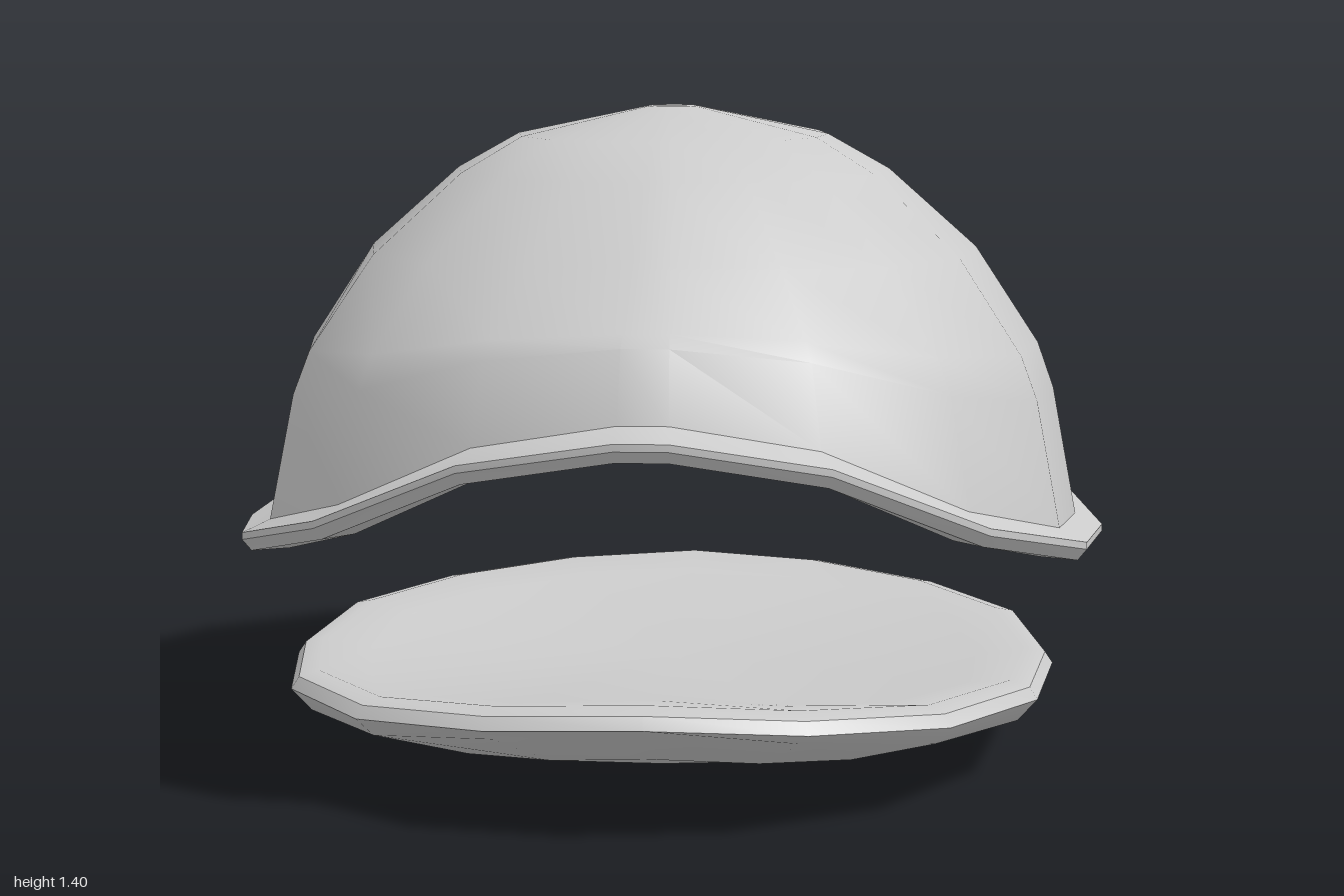
import * as THREE from 'three';
import { toCreasedNormals } from 'three/addons/utils/BufferGeometryUtils.js';

// Half outline [x, z, y] from front to back, mirrored to a full loop
function mirrorLoop(half) {
  const other = half.filter(p => p[0] > 0).map(([x, z, y]) => [-x, z, y]).reverse();
  return [...half, ...other];
}

// Skin stacked rings from top to bottom, closing both ends on a centre point
function loft(rings, startY, endY) {
  const n = rings[0].length, pos = rings.flat(2), idx = [];
  for (let k = 0; k < rings.length - 1; k++) {
    for (let i = 0; i < n; i++) {
      const j = (i + 1) % n, a = k * n, b = a + n;
      idx.push(a + i, b + i, b + j, a + i, b + j, a + j);
    }
  }
  const start = rings.length * n, last = start - n;
  pos.push(0, startY, 0, 0, endY, 0);
  for (let i = 0; i < n; i++) {
    const j = (i + 1) % n;
    idx.push(start, i, j, start + 1, last + j, last + i);
  }
  const geo = new THREE.BufferGeometry();
  geo.setAttribute('position', new THREE.Float32BufferAttribute(pos, 3));
  geo.setIndex(idx);
  return toCreasedNormals(geo, THREE.MathUtils.degToRad(36));
}

// Ring from an outline: scale s, height from a rule on the outline height
const ring = (loop, s, height) => loop.map(([x, z, y]) => [x * s, height(y), z * s]);

function createShell(material) {
  // Foot of the dome, with its arched front
  const foot = mirrorLoop([
    [0.05, 0.93, 0.83], [0.34, 0.87, 0.775], [0.63, 0.70, 0.63], [0.83, 0.38, 0.54],
    [0.89, -0.02, 0.50], [0.83, -0.39, 0.53], [0.63, -0.70, 0.57], [0.34, -0.89, 0.62],
    [0.05, -0.94, 0.66],
  ]);
  // Dome profile: scale, height, how strongly it follows the arched foot
  const profile = [
    [0.06, 1.395, 0], [0.38, 1.335, 0], [0.53, 1.26, 0], [0.745, 1.09, 0.05],
    [0.90, 0.88, 0.35], [0.94, 0.78, 0.58],
  ];
  const dome = profile.map(([s, h, w]) => ring(foot, s, y => h + (y - 0.5) * w));
  // Flared lip: drop below the foot at each scale
  const lip = [[1, 0], [1.067, 0.025], [1.067, 0.04], [1.045, 0.065], [0.955, 0.065]]
    .map(([s, drop]) => ring(foot, s, y => y - drop));
  // Inside wall, a thinner copy of the dome
  const inside = profile.slice().reverse()
    .map(([s, h, w]) => ring(foot, s * 0.94, y => h - 0.05 + (y - 0.5) * w));

  const mesh = new THREE.Mesh(loft([...dome, ...lip, ...inside], 1.396, 1.345), material);
  mesh.name = 'helmetShell';
  return mesh;
}

function createDish(material) {
  const edge = mirrorLoop([
    [0, 0.96, 0.275], [0.32, 0.90, 0.255], [0.60, 0.70, 0.225], [0.79, 0.39, 0.21],
    [0.845, 0, 0.20], [0.79, -0.39, 0.21], [0.60, -0.70, 0.215], [0.32, -0.90, 0.225],
    [0, -0.96, 0.235],
  ]);
  const rings = [
    ring(edge, 0.80, y => y - 0.02),
    ring(edge, 0.93, y => y),
    ring(edge, 0.98, y => y - 0.01),
    ring(edge, 1.00, y => y - 0.035),
    ring(edge, 0.95, y => 0.11 + (y - 0.2) * 1.5),
    ring(edge, 0.67, y => 0.04 + (y - 0.2) * 0.8),
    ring(edge, 0.40, y => 0.015 + (y - 0.2) * 0.1),
  ];
  const mesh = new THREE.Mesh(loft(rings, 0.17, 0), material);
  mesh.name = 'lowerDish';
  return mesh;
}

export function createModel() {
  const material = new THREE.MeshStandardMaterial({ color: 0xcccccc });
  const group = new THREE.Group();
  group.name = 'helmet';
  group.add(createShell(material), createDish(material));
  return group;
}
